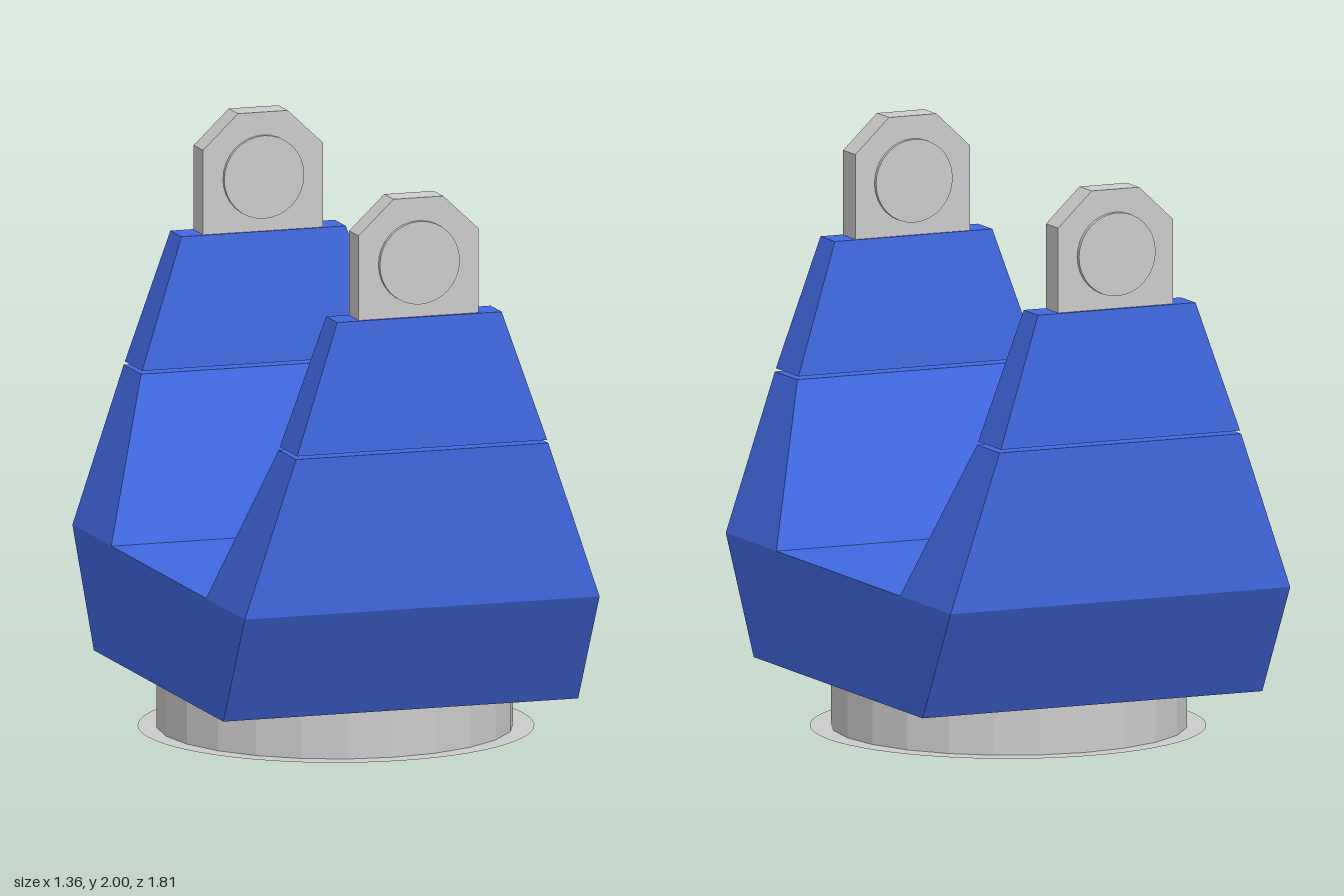
import * as THREE from 'three';

const blue = new THREE.MeshStandardMaterial({ color: 0x4169e1, flatShading: true });
const grey = new THREE.MeshStandardMaterial({ color: 0xcccccc });
const greyFlat = new THREE.MeshStandardMaterial({ color: 0xcccccc, flatShading: true });
const greySheet = new THREE.MeshStandardMaterial({ color: 0xcccccc, side: THREE.DoubleSide });

function add(parent, name, geometry, material, x = 0, y = 0, z = 0) {
  const mesh = new THREE.Mesh(geometry, material);
  mesh.name = name;
  mesh.position.set(x, y, z);
  parent.add(mesh);
  return mesh;
}

// Tapered block between two level rectangles, each [half width, z min, z max].
// Sides in skip (0 +x, 1 -x, 2 top, 3 bottom, 4 +z, 5 -z) are left open.
function taperedBlock(y0, low, y1, high, skip = []) {
  const g = new THREE.BoxGeometry(1, 1, 1);
  const p = g.attributes.position;
  for (let i = 0; i < p.count; i++) {
    const top = p.getY(i) > 0;
    const [hx, zMin, zMax] = top ? high : low;
    p.setXYZ(i, Math.sign(p.getX(i)) * hx, top ? y1 : y0, p.getZ(i) > 0 ? zMax : zMin);
  }
  g.setIndex(Array.from(g.index.array).filter((_, i) => !skip.includes(Math.floor(i / 6))));
  g.clearGroups();
  g.computeVertexNormals();
  return g;
}

function createArm(name) {
  const arm = new THREE.Group();
  arm.name = name;
  add(arm, 'lowerArm',
    taperedBlock(0.575, [0.643, 0.497, 0.905], 1.122, [0.457, 0.723, 0.905], [3]), blue);
  add(arm, 'upperArm',
    taperedBlock(1.133, [0.453, 0.723, 0.905], 1.585, [0.298, 0.76, 0.876]), blue);

  // Lug plate with clipped upper corners
  const outline = new THREE.Shape([
    [-0.217, 1.585], [0.217, 1.585], [0.217, 1.88], [0.09, 2], [-0.09, 2], [-0.217, 1.88],
  ].map(([x, y]) => new THREE.Vector2(x, y)));
  add(arm, 'lug', new THREE.ExtrudeGeometry(outline, { depth: 0.098, bevelEnabled: false }),
    greyFlat, 0, 0, 0.767);

  // Pivot pin showing on both faces of the lug
  add(arm, 'pivotPin', new THREE.CylinderGeometry(0.145, 0.145, 0.127, 32), grey, 0, 1.775, 0.817)
    .rotation.x = Math.PI / 2;
  return arm;
}

export function createModel() {
  const model = new THREE.Group();
  model.name = 'yokeMount';

  // Turntable: thin flange sheet, foot ring and collar
  add(model, 'flange', new THREE.CircleGeometry(0.68, 64), greySheet, 0, 0.001, 0)
    .rotation.x = Math.PI / 2;
  add(model, 'footRing', new THREE.CylinderGeometry(0.612, 0.612, 0.053, 24, 1, true),
    greyFlat, -0.004, 0.0275, 0);
  add(model, 'collar', new THREE.CylinderGeometry(0.612, 0.612, 0.126, 24, 1, true),
    greyFlat, -0.004, 0.117, 0);

  // Cradle base: flared block with a floor between the arms
  add(model, 'cradleBase',
    taperedBlock(0.178, [0.643, -0.68, 0.68], 0.575, [0.643, -0.905, 0.905], [2]), blue);
  add(model, 'cradleFloor', new THREE.PlaneGeometry(1.286, 0.994), blue, 0, 0.575, 0)
    .rotation.x = -Math.PI / 2;

  // Matching arms at front and back
  model.add(createArm('frontArm'));
  const backArm = createArm('backArm');
  backArm.rotation.y = Math.PI;
  model.add(backArm);
  return model;
}
